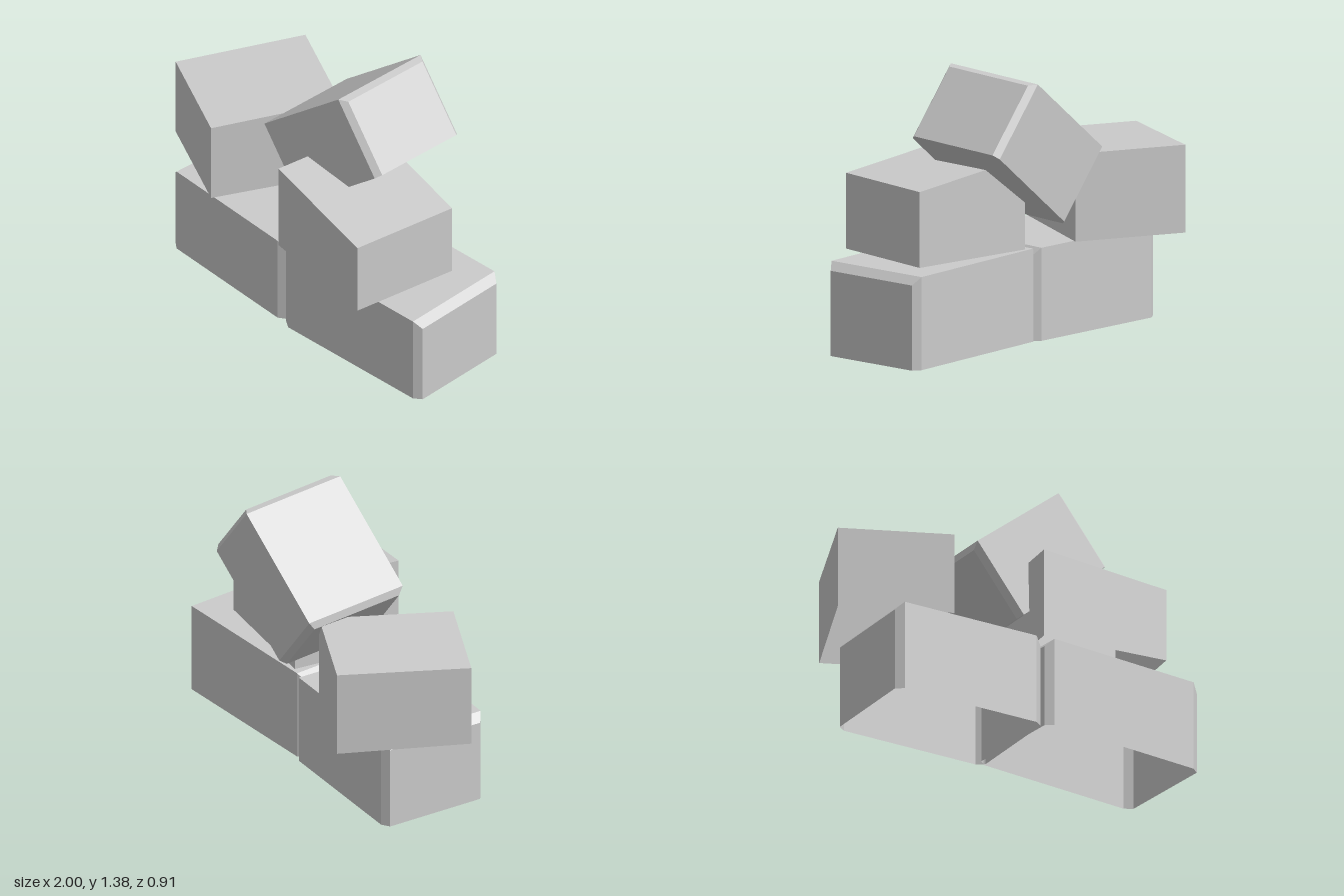
import * as THREE from 'three';

const material = new THREE.MeshStandardMaterial({ color: 0xcccccc, flatShading: true, side: THREE.DoubleSide });

// A block standing on its own y = 0. `end` adds a narrowed cap beyond each end of the body,
// slopeX / slopeZ raise the top towards +x / +z, `open` leaves out the underside.
function block(name, { length, height, depth, end = 0, slopeX = 0, slopeZ = 0, open = true }) {
  const geo = new THREE.BoxGeometry(length, height, depth, end ? 3 : 1, 1, 1);
  geo.translate(0, height / 2, 0);
  const pos = geo.attributes.position;
  for (let i = 0; i < pos.count; i++) {
    let x = pos.getX(i), y = pos.getY(i), z = pos.getZ(i);
    const top = y > height / 2;
    if (end) {
      const isCap = Math.abs(x) > length * 0.4;
      x = Math.sign(x) * (length / 2 + (isCap ? end : 0));
      if (isCap) {
        z -= Math.sign(z) * 0.028;
        if (top) y -= end;
      }
    }
    if (top) y += slopeX * x + slopeZ * z;
    pos.setXYZ(i, x, y, z);
  }
  if (open) {
    const under = geo.groups[3];
    const index = Array.from(geo.index.array);
    index.splice(under.start, under.count);
    geo.setIndex(index);
  }
  geo.clearGroups();
  const flat = geo.toNonIndexed();
  flat.computeVertexNormals();
  const mesh = new THREE.Mesh(flat, material);
  mesh.name = name;
  return mesh;
}

export function createModel() {
  const model = new THREE.Group();
  model.name = 'blockPile';
  const place = (mesh, x, y, z, rx = 0, ry = 0, rz = 0) => {
    mesh.position.set(x, y, z);
    mesh.rotation.set(rx, ry, rz);
    model.add(mesh);
  };

  // Bottom row: two bevelled blocks end to end
  place(block('lowerRightBlock', { length: 0.76, height: 0.47, depth: 0.58, end: 0.04 }), -0.365, 0, 0.08);
  place(block('lowerLeftBlock', { length: 0.853, height: 0.47, depth: 0.58, end: 0.04 }), 0.508, 0, 0.055, 0, 0.092);

  // Second row: two plain blocks with slightly sloping tops
  place(block('upperRightBlock', { length: 0.58, height: 0.435, depth: 0.67, slopeZ: -0.025 }),
    -0.6015, 0.47, -0.0375, 0, -0.408);
  place(block('upperLeftBlock', { length: 0.67, height: 0.425, depth: 0.573, slopeX: -0.127 }),
    0.4055, 0.47, 0.136, 0, -0.094);

  // Tumbled block leaning on the others
  const tumbled = block('tumbledBlock', { length: 0.639, height: 0.43, depth: 0.572, end: 0.03, open: false });
  tumbled.geometry.translate(0, -0.215, 0);
  place(tumbled, 0.121, 0.998, -0.08, -0.042, 0.07, 0.677);

  return model;
}
